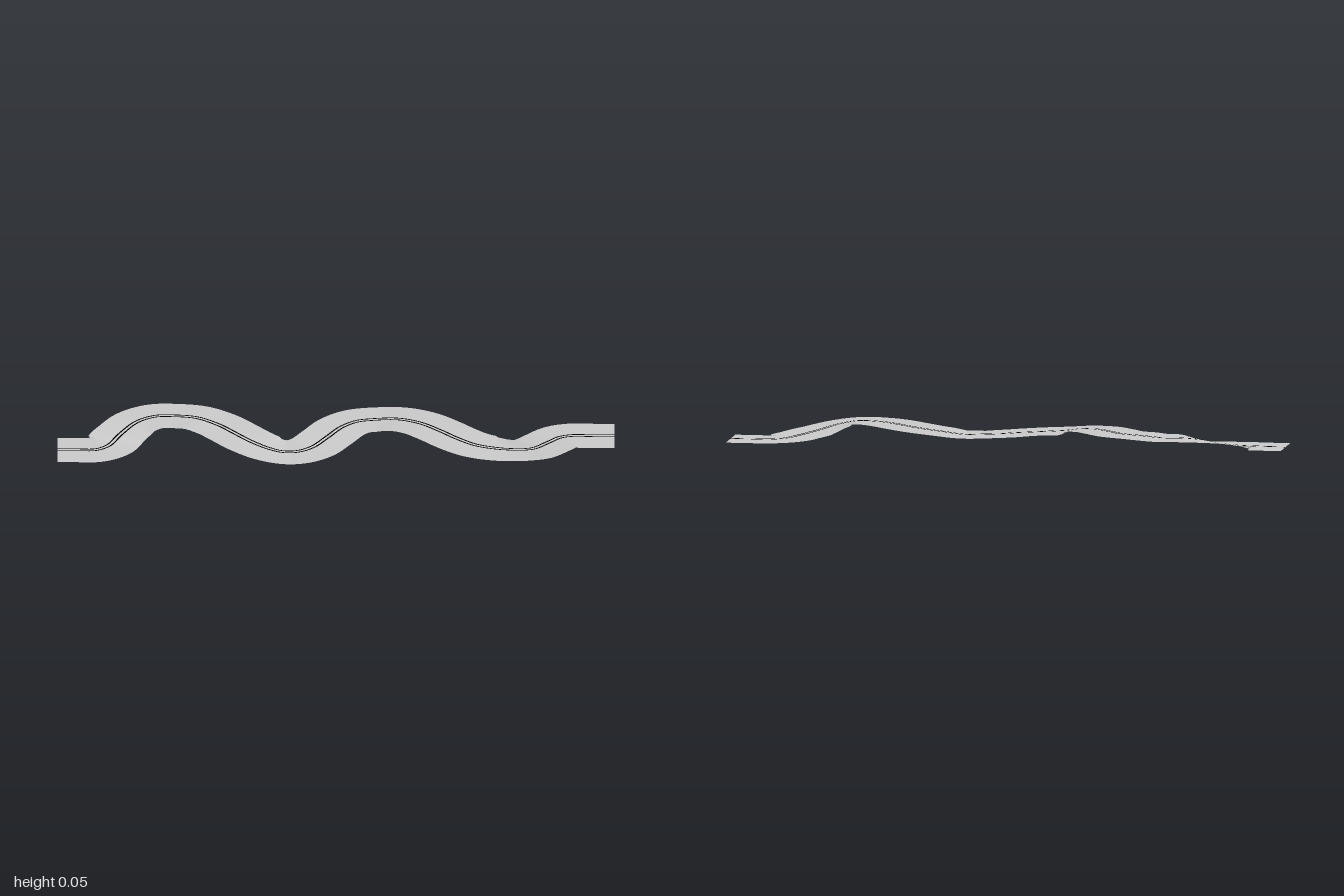
import * as THREE from 'three';

// Centreline of the winding road: x, height, z
const PATH = [
  [-1, 0.009, 0.045], [-0.93, 0.009, 0.045], [-0.86, 0.01, 0.045], [-0.815, 0.016, 0.02],
  [-0.775, 0.03, -0.04], [-0.715, 0.05, -0.104], [-0.65, 0.058, -0.134], [-0.583, 0.058, -0.138],
  [-0.5, 0.061, -0.116], [-0.42, 0.058, -0.061], [-0.37, 0.057, -0.004], [-0.305, 0.054, 0.068],
  [-0.24, 0.047, 0.113], [-0.19, 0.039, 0.123], [-0.14, 0.036, 0.115], [-0.085, 0.037, 0.079],
  [-0.03, 0.043, 0.006], [0.02, 0.048, -0.066], [0.075, 0.051, -0.108], [0.14, 0.051, -0.124],
  [0.22, 0.058, -0.113], [0.3, 0.061, -0.074], [0.375, 0.061, -0.007], [0.433, 0.06, 0.052],
  [0.5, 0.058, 0.104], [0.572, 0.055, 0.126], [0.64, 0.043, 0.111], [0.706, 0.026, 0.067],
  [0.76, 0.017, -0.002], [0.805, 0.012, -0.058], [0.85, 0.01, -0.077], [0.925, 0.009, -0.077],
  [1, 0.009, -0.077],
];
const STEPS = 280;

// Ribbon that follows the curve between two sideways offsets
function ribbon(curve, from, to, lift, columns) {
  const positions = [], index = [];
  for (let i = 0; i <= STEPS; i++) {
    const p = curve.getPointAt(i / STEPS);
    const t = curve.getTangentAt(i / STEPS);
    const side = i === 0 || i === STEPS
      ? new THREE.Vector3(0, 0, 1)
      : new THREE.Vector3(-t.z, 0, t.x).normalize();
    for (let j = 0; j <= columns; j++) {
      const d = from + (to - from) * j / columns;
      positions.push(p.x + side.x * d, p.y + lift, p.z + side.z * d);
    }
  }
  // Keep every triangle facing up, also where the inner edge folds at tight bends
  const addUpward = (a, b, c) => {
    const x = k => positions[k * 3], z = k => positions[k * 3 + 2];
    const up = (z(b) - z(a)) * (x(c) - x(a)) - (x(b) - x(a)) * (z(c) - z(a));
    if (up > 0) index.push(a, b, c);
    else index.push(a, c, b);
  };
  const row = columns + 1;
  for (let i = 0; i < STEPS; i++) {
    for (let j = 0; j < columns; j++) {
      const a = i * row + j;
      addUpward(a, a + 1, a + row);
      addUpward(a + 1, a + row + 1, a + row);
    }
  }
  const geometry = new THREE.BufferGeometry();
  geometry.setAttribute('position', new THREE.Float32BufferAttribute(positions, 3));
  geometry.setIndex(index);
  geometry.computeVertexNormals();
  return geometry;
}

export function createModel() {
  const group = new THREE.Group();
  group.name = 'windingRoad';
  const surface = new THREE.MeshStandardMaterial({ color: 0xcccccc, side: THREE.DoubleSide });
  surface.name = 'road grey';
  const paint = new THREE.MeshStandardMaterial({ color: 0x000000, side: THREE.DoubleSide });
  paint.name = 'line black';

  const curve = new THREE.CatmullRomCurve3(PATH.map(p => new THREE.Vector3(...p)));
  curve.arcLengthDivisions = 1000;

  const add = (name, geometry, material) => {
    const mesh = new THREE.Mesh(geometry, material);
    mesh.name = name;
    group.add(mesh);
  };

  // Road surface
  add('roadSurface', ribbon(curve, -0.103, 0.103, 0, 8), surface);

  // Double centre line
  for (const s of [-1, 1]) {
    add(s < 0 ? 'leftCentreLine' : 'rightCentreLine',
      ribbon(curve, s * 0.0075 - 0.003, s * 0.0075 + 0.003, 0.001, 1), paint);
  }
  return group;
}
